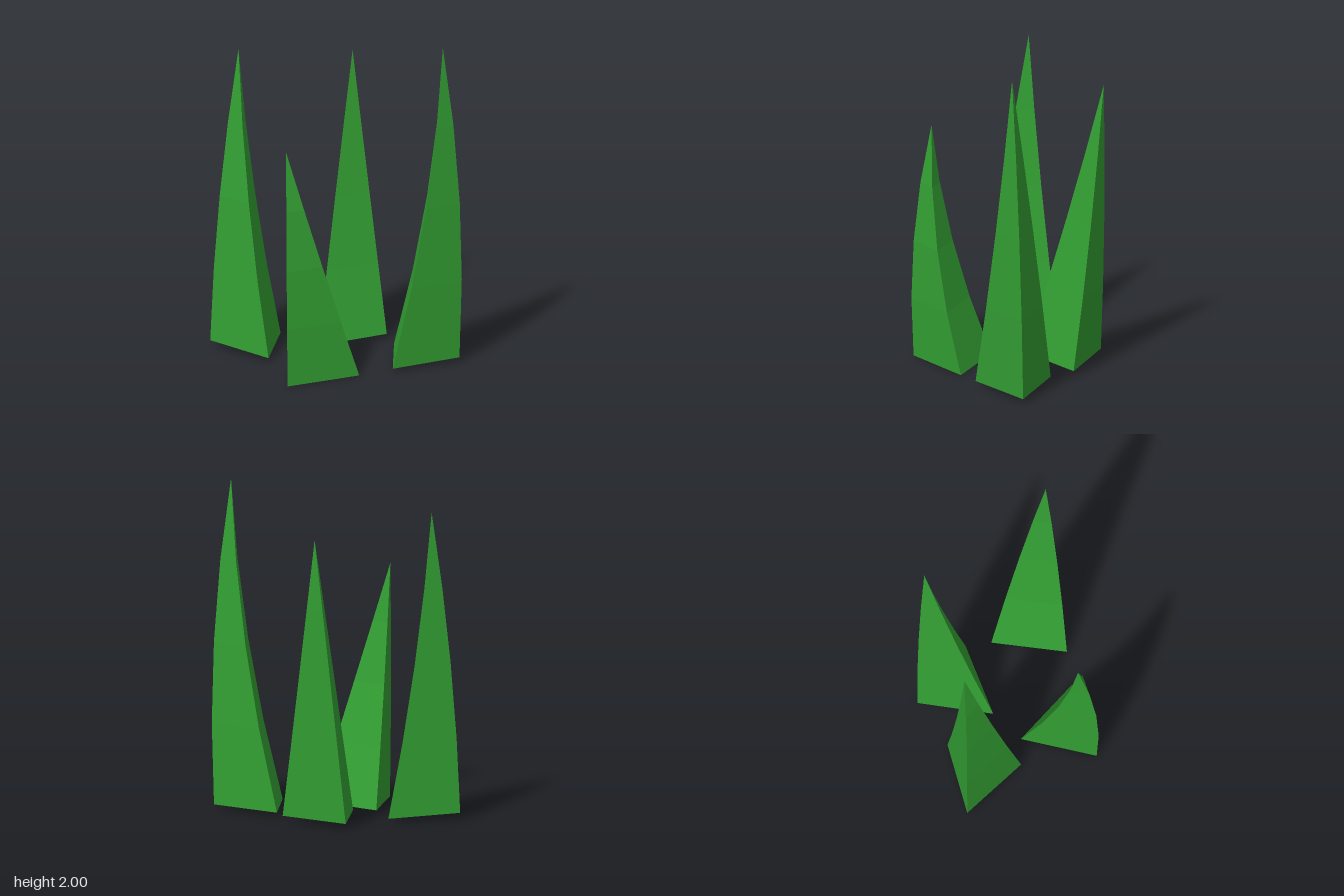
import * as THREE from 'three';

const SEGMENTS = 4;
const material = new THREE.MeshStandardMaterial({ color: 0x33a033, flatShading: true });

// A three-sided blade: the base triangle shrinks linearly to the tip along a bent spine.
// corners run counter-clockwise seen from above; mid is the spine's [x, z] at half height.
function bladeGeometry(corners, mid, tip) {
  const base = corners.map((c) => new THREE.Vector3(...c));
  const start = new THREE.Vector3();
  base.forEach((c) => start.addScaledVector(c, 1 / 3));
  const end = new THREE.Vector3(...tip);
  const half = new THREE.Vector3(mid[0], (start.y + end.y) / 2, mid[1]);
  const control = half.multiplyScalar(2).addScaledVector(start, -0.5).addScaledVector(end, -0.5);
  const spine = new THREE.QuadraticBezierCurve3(start, control, end);

  // Cross-sections from base to tip
  const rings = [];
  for (let i = 0; i <= SEGMENTS; i++) {
    const t = i / SEGMENTS;
    const centre = spine.getPoint(t);
    rings.push(base.map((c) => c.clone().sub(start).multiplyScalar(1 - t).add(centre)));
  }

  const positions = [];
  const triangle = (...points) => points.forEach((p) => positions.push(p.x, p.y, p.z));
  triangle(base[2], base[1], base[0]); // underside
  for (let i = 0; i < SEGMENTS; i++) {
    for (let j = 0; j < 3; j++) {
      const k = (j + 1) % 3;
      const [low, high] = [rings[i], rings[i + 1]];
      triangle(low[j], low[k], high[k]);
      if (i < SEGMENTS - 1) triangle(low[j], high[k], high[j]);
    }
  }
  const geometry = new THREE.BufferGeometry();
  geometry.setAttribute('position', new THREE.Float32BufferAttribute(positions, 3));
  geometry.computeVertexNormals();
  return geometry;
}

const blades = [
  {
    name: 'leftBlade',
    corners: [[0.335, 0.025, -0.19], [0.365, 0.025, 0.265], [0.745, 0.025, 0.025]],
    mid: [0.617, 0.052],
    tip: [0.65, 2, 0.08],
  },
  {
    name: 'rightBlade',
    corners: [[-0.355, 0.03, -0.32], [-0.76, 0.04, -0.12], [-0.39, 0.025, 0.135]],
    mid: [-0.575, -0.125],
    tip: [-0.595, 1.87, -0.17],
  },
  {
    name: 'backBlade',
    corners: [[-0.13, 0.035, -0.548], [-0.11, 0.035, -0.09], [0.28, 0.035, -0.335]],
    mid: [0.033, -0.446],
    tip: [0.058, 1.755, -0.543],
  },
  {
    name: 'frontBlade',
    corners: [[-0.223, 0, 0.1], [-0.24, 0, 0.565], [0.17, 0, 0.33]],
    mid: [-0.175, 0.447],
    tip: [-0.258, 1.44, 0.455],
  },
];

export function createModel() {
  const group = new THREE.Group();
  group.name = 'grassTuft';
  for (const { name, corners, mid, tip } of blades) {
    const mesh = new THREE.Mesh(bladeGeometry(corners, mid, tip), material);
    mesh.name = name;
    group.add(mesh);
  }
  return group;
}
